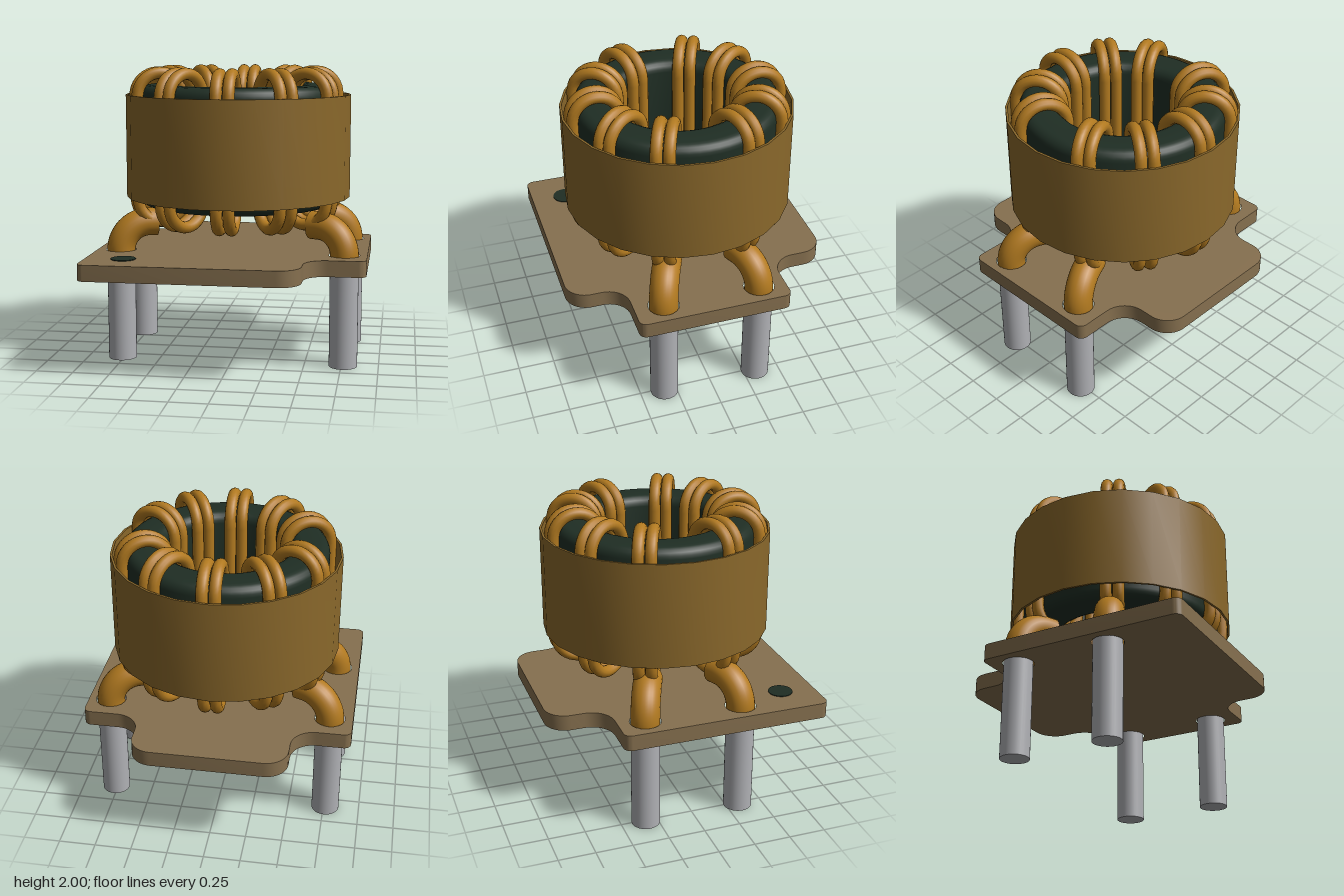
import * as THREE from 'three';
import { toCreasedNormals } from 'three/addons/utils/BufferGeometryUtils.js';

const material = (name, color) => {
  const m = new THREE.MeshStandardMaterial({ color });
  m.name = name;
  return m;
};

export function createModel() {
  const copper = material('copper', 0xb27a20);
  const sleeveBrown = material('sleeve brown', 0x8a682b);
  const boardTan = material('board tan', 0x86704f);
  const coreGreen = material('core dark green', 0x1f2e24);
  const tin = material('tinned metal', 0xb0b1b5);

  const model = new THREE.Group();
  const add = (name, geometry, mat, parent = model) => {
    const mesh = new THREE.Mesh(geometry, mat);
    mesh.name = name;
    parent.add(mesh);
    return mesh;
  };
  const v2 = (x, y) => new THREE.Vector2(x, y);
  const v3 = (x, y, z) => new THREE.Vector3(x, y, z);

  // Base board: notched outline of [x, z, corner radius], drilled for the leads
  const outline = [
    [-0.92, 0.905, 0.05], [0.515, 0.905, 0.15], [0.515, 0.53, 0.15], [0.915, 0.53, 0.05],
    [0.915, -0.515, 0.05], [0.515, -0.515, 0.16], [0.515, -0.91, 0.15],
    [-0.53, -0.91, 0.15], [-0.53, -0.515, 0.16], [-0.92, -0.515, 0.05],
  ];
  const shape = new THREE.Shape();
  outline.forEach(([x, z, r], i) => {
    const p = v2(x, z);
    const toward = ([nx, nz]) => v2(nx, nz).sub(p).setLength(r).add(p);
    const a = toward(outline[(i + outline.length - 1) % outline.length]);
    const b = toward(outline[(i + 1) % outline.length]);
    if (i === 0) shape.moveTo(a.x, a.y);
    else shape.lineTo(a.x, a.y);
    const k = 0.552;
    const c1 = a.clone().lerp(p, k), c2 = b.clone().lerp(p, k);
    shape.bezierCurveTo(c1.x, c1.y, c2.x, c2.y, b.x, b.y);
  });
  shape.closePath();
  const corners = [[1, 1], [1, -1], [-1, 1], [-1, -1]];
  const leadX = 0.762, leadZ = 0.332;
  for (const [sx, sz] of corners) {
    shape.holes.push(new THREE.Path().absarc(sx * leadX, sz * leadZ, 0.104, 0, Math.PI * 2, true));
  }
  const board = new THREE.ExtrudeGeometry(shape, { depth: 0.108, bevelEnabled: false, curveSegments: 10 });
  board.rotateX(Math.PI / 2).translate(0, 0.76, 0);
  add('baseBoard', toCreasedNormals(board, 0.5), boardTan);

  // Orientation dot
  add('orientationDot', new THREE.CylinderGeometry(0.082, 0.082, 0.006, 32), coreGreen)
    .position.set(-0.664, 0.762, 0.667);

  // Ring core with rounded edges
  const ri = 0.425, ro = 0.685, y0 = 1.05, y1 = 1.875, e = 0.07;
  const profile = [];
  [[ro - e, y0 + e, -1], [ro - e, y1 - e, 0], [ri + e, y1 - e, 1], [ri + e, y0 + e, 2]].forEach(([x, y, q]) => {
    for (let i = 0; i <= 5; i++) {
      const a = (q + i / 5) * Math.PI / 2;
      profile.push(v2(x + e * Math.cos(a), y + e * Math.sin(a)));
    }
  });
  profile.push(profile[0].clone());
  add('ringCore', toCreasedNormals(new THREE.LatheGeometry(profile, 64), 0.5), coreGreen);

  // Thin outer sleeve
  const band = [[0.775, 1.108], [0.775, 1.81], [0.76, 1.81], [0.76, 1.108], [0.775, 1.108]];
  add('sleeve', toCreasedNormals(new THREE.LatheGeometry(band.map(([x, y]) => v2(x, y)), 24), 0.5), sleeveBrown);

  // Winding turns: stadium loops wrapped round the core section, in pairs
  const turn = [];
  const arcR = 0.16, mid = 0.557, low = 1.11, high = 1.8;
  for (const [y, start] of [[high, 0], [low, Math.PI]]) {
    for (let i = 0; i <= 8; i++) {
      const a = start + i * Math.PI / 8;
      turn.push(v3(mid + arcR * Math.cos(a), y + arcR * Math.sin(a), 0));
    }
    const side = start === 0 ? -1 : 1;
    for (const t of [0.05, 0.5, 0.95]) {
      const f = side < 0 ? 1 - t : t;
      turn.push(v3(mid + side * arcR, low + (high - low) * f, 0));
    }
  }
  const turnGeometry = new THREE.TubeGeometry(new THREE.CatmullRomCurve3(turn, true), 88, 0.04, 12, true);
  const windings = new THREE.Group();
  windings.name = 'windings';
  model.add(windings);
  for (const deg of [24.5, 56.5, 90, 123.5, 155.5, 204.5, 236.5, 270, 303.5, 335.5]) {
    const pair = new THREE.Group();
    pair.name = 'windingPair';
    pair.rotation.y = THREE.MathUtils.degToRad(deg);
    for (const s of [-1, 1]) add('windingTurn', turnGeometry, copper, pair).position.z = s * 0.041;
    windings.add(pair);
  }

  // Leads: copper elbows bending inward above the board, tinned pins below
  const r = 0.096, bend = 0.19, yTop = 0.945;
  const elbow = new THREE.CurvePath();
  const k = bend * 0.448;
  elbow.add(new THREE.LineCurve3(v3(0, 0.66, 0), v3(0, yTop - bend, 0)));
  elbow.add(new THREE.CubicBezierCurve3(
    v3(0, yTop - bend, 0), v3(0, yTop - k, 0), v3(-k, yTop, 0), v3(-bend, yTop, 0)));
  elbow.add(new THREE.LineCurve3(v3(-bend, yTop, 0), v3(-0.25, yTop, 0)));
  const elbowGeometry = new THREE.TubeGeometry(elbow, 28, r, 24, false);
  const endCap = new THREE.CircleGeometry(r, 24).rotateY(-Math.PI / 2).translate(-0.25, yTop, 0);
  const pinGeometry = new THREE.CylinderGeometry(r, r, 0.66, 32).translate(0, 0.33, 0);
  for (const [sx, sz] of corners) {
    const lead = new THREE.Group();
    lead.name = 'lead';
    lead.position.set(sx * leadX, 0, sz * leadZ);
    lead.rotation.y = Math.atan2(-sz * leadZ, sx * leadX);
    add('leadElbow', elbowGeometry, copper, lead);
    add('leadEnd', endCap, copper, lead);
    add('pin', pinGeometry, tin, lead);
    model.add(lead);
  }

  return model;
}
